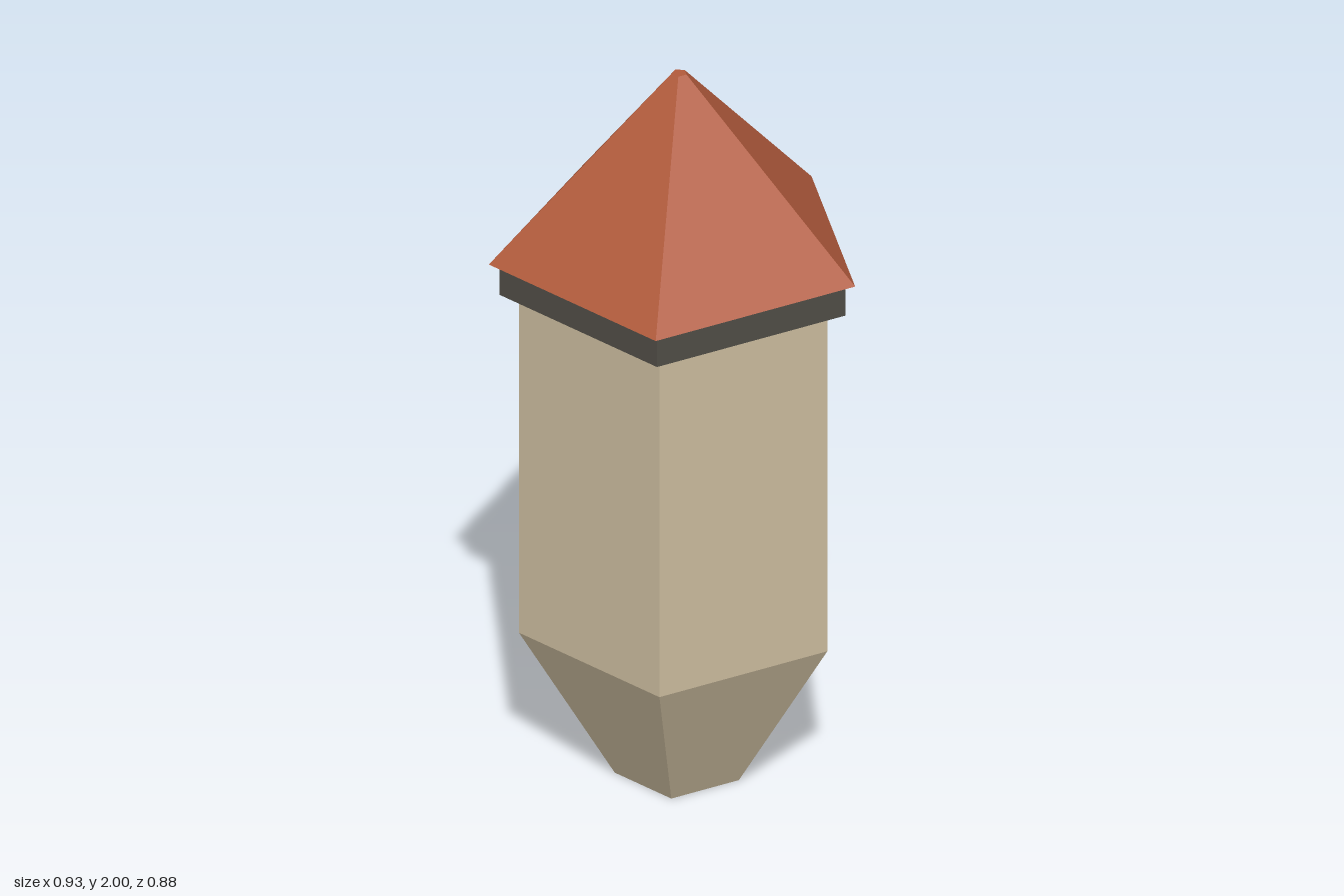
import * as THREE from 'three';

const SIDES = 5;
const CENTRE_Z = 0.045; // the pentagon axis, so that the bounds are centred on z = 0

export function createModel() {
  const group = new THREE.Group();
  group.name = 'turret';

  const material = (name, color) => {
    const m = new THREE.MeshStandardMaterial({ color, flatShading: true });
    m.name = name;
    return m;
  };
  const stone = material('pale stone', 0xcbbc9e);
  const slate = material('dark slate', 0x504d46);
  const tile = material('red tile', 0xb25b3c);

  // Five-sided section with a flat side at the front and a corner at the back
  const addSection = (name, mat, y0, y1, bottomRadius, topRadius, open = false) => {
    const geometry = new THREE.CylinderGeometry(
      topRadius, bottomRadius, y1 - y0, SIDES, 1, open, Math.PI);
    const mesh = new THREE.Mesh(geometry, mat);
    mesh.name = name;
    mesh.position.set(0, (y0 + y1) / 2, CENTRE_Z);
    group.add(mesh);
  };

  // Tapered corbel, straight wall, projecting band and pointed roof
  addSection('corbel', stone, 0, 0.43, 0.165, 0.41);
  addSection('wall', stone, 0.43, 1.41, 0.41, 0.41, true);
  addSection('eavesBand', slate, 1.41, 1.5, 0.46, 0.46);
  addSection('roof', tile, 1.5, 2, 0.487, 0.02);

  return group;
}
